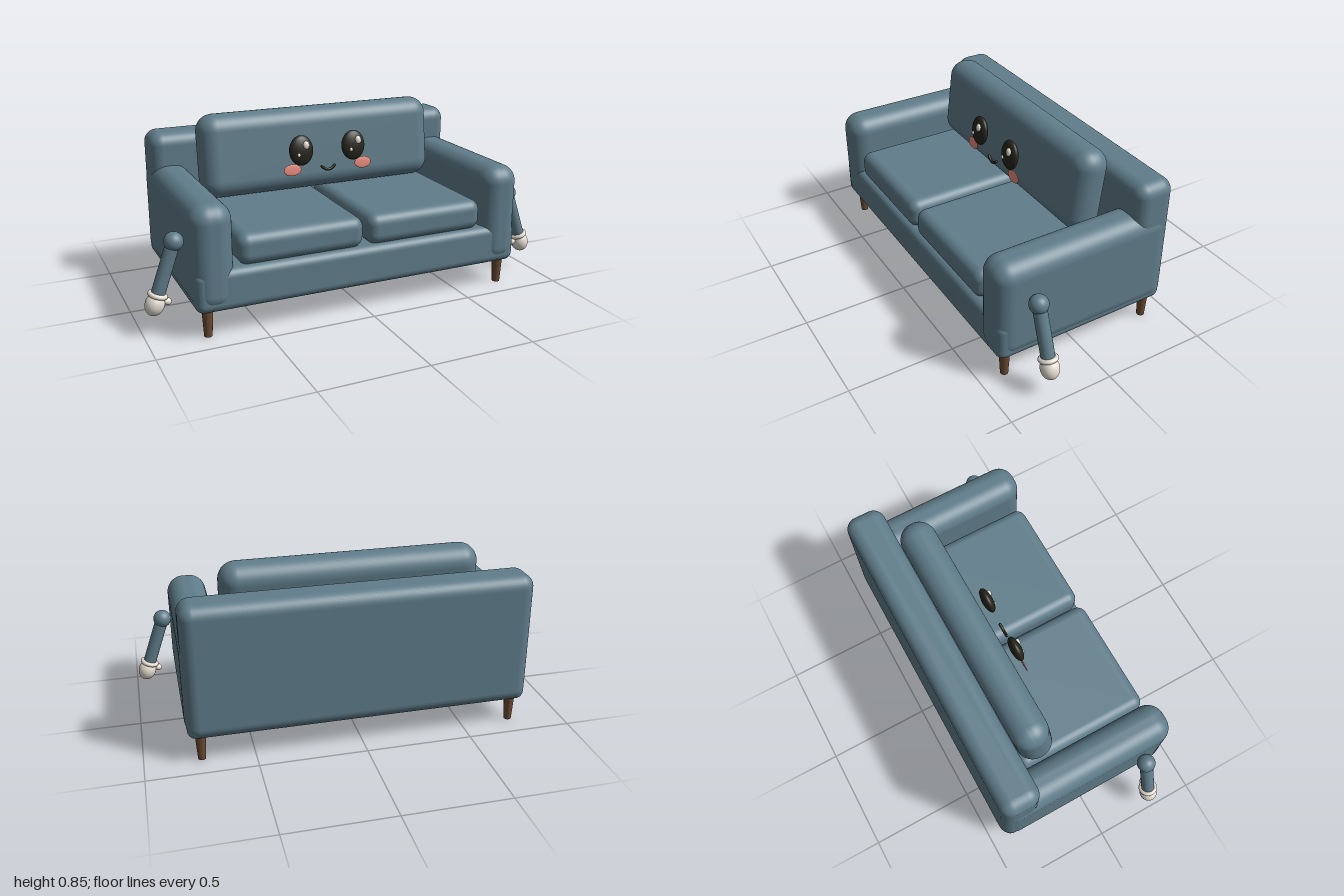
import * as THREE from 'three';
import { RoundedBoxGeometry } from 'three/addons/geometries/RoundedBoxGeometry.js';

const paint = (name, color) => {
  const m = new THREE.MeshStandardMaterial({ color });
  m.name = name;
  return m;
};

export function createModel() {
  const fabric = paint('blue grey fabric', 0x607d8b);
  const wood = paint('brown wood', 0x6b4a33);
  const cream = paint('cream', 0xe8e0d5);
  const black = paint('soft black', 0x25241c);
  const pink = paint('blush pink', 0xe88a7d);

  const sofa = new THREE.Group();
  sofa.name = 'sofa';

  const add = (parent, name, geometry, material, x = 0, y = 0, z = 0) => {
    const mesh = new THREE.Mesh(geometry, material);
    mesh.name = name;
    mesh.position.set(x, y, z);
    parent.add(mesh);
    return mesh;
  };
  // Rounded box given by its low and high corners
  const pad = (name, lo, hi, radius) => add(sofa, name,
    new RoundedBoxGeometry(hi[0] - lo[0], hi[1] - lo[1], hi[2] - lo[2], 6, radius), fabric,
    (lo[0] + hi[0]) / 2, (lo[1] + hi[1]) / 2, (lo[2] + hi[2]) / 2);
  const ellipsoid = (rx, ry, rz) => new THREE.SphereGeometry(1, 32, 20).scale(rx, ry, rz);

  // Upholstered body
  pad('base', [-0.8, 0.12, -0.432], [0.8, 0.31, 0.435], 0.04);
  pad('backrest', [-0.803, 0.12, -0.443], [0.803, 0.755, -0.252], 0.06);
  const cushion = add(sofa, 'backCushion',
    new RoundedBoxGeometry(1.21, 0.4, 0.172, 8, 0.082), fabric, 0, 0.65, -0.158);
  cushion.rotation.x = -0.12;

  for (const s of [-1, 1]) {
    const side = s > 0 ? 'left' : 'right';
    const span = (a, b) => [Math.min(s * a, s * b), Math.max(s * a, s * b)];
    const [a0, a1] = span(0.62, 0.808);
    pad(side + 'Armrest', [a0, 0.12, -0.443], [a1, 0.6, 0.443], 0.08);
    const [c0, c1] = span(0.01, 0.605);
    pad(side + 'SeatCushion', [c0, 0.305, -0.25], [c1, 0.45, 0.425], 0.05);

    // Tapered feet
    for (const z of [0.377, -0.377]) {
      add(sofa, side + (z > 0 ? 'FrontLeg' : 'BackLeg'),
        new THREE.CylinderGeometry(0.026, 0.018, 0.14, 20), wood, s * 0.742, 0.07, z);
    }

    // Hanging arm with gloved hand, its local -y running down the limb
    const limb = new THREE.Group();
    limb.name = side + 'Arm';
    limb.position.set(s * 0.848, 0.418, 0.281);
    limb.rotation.z = s * 0.34;
    sofa.add(limb);
    add(limb, 'shoulder', ellipsoid(0.043, 0.043, 0.043), fabric);
    add(limb, 'sleeve', new THREE.CylinderGeometry(0.031, 0.031, 0.24, 24), fabric, 0, -0.12, 0);
    const cuff = add(limb, 'cuff', new THREE.TorusGeometry(0.034, 0.011, 12, 28), cream, 0, -0.245, 0);
    cuff.rotation.x = Math.PI / 2;
    add(limb, 'hand', ellipsoid(0.043, 0.052, 0.042), cream, 0, -0.288, 0);
    add(limb, 'thumb', ellipsoid(0.022, 0.017, 0.018), cream, -s * 0.046, -0.264, 0.004);
  }

  // Face, leaning like the cushion behind it
  const face = new THREE.Group();
  face.name = 'face';
  face.position.set(0, 0.668, -0.021);
  face.rotation.x = -0.12;
  sofa.add(face);
  for (const s of [-1, 1]) {
    const side = s > 0 ? 'left' : 'right';
    add(face, side + 'Eye', ellipsoid(0.061, 0.073, 0.026), black, s * 0.137, 0, 0);
    add(face, side + 'EyeHighlight', ellipsoid(0.016, 0.02, 0.011), cream, s * 0.137 + 0.018, 0.026, 0.022);
    add(face, side + 'EyeSparkle', ellipsoid(0.008, 0.009, 0.006), cream, s * 0.137 - 0.022, -0.018, 0.025);
    add(face, side + 'Cheek', ellipsoid(0.045, 0.028, 0.004), pink, s * 0.186, -0.09, 0);
  }
  const smile = new THREE.QuadraticBezierCurve3(
    new THREE.Vector3(-0.033, -0.088, 0), new THREE.Vector3(0, -0.124, 0), new THREE.Vector3(0.033, -0.088, 0));
  add(face, 'smile', new THREE.TubeGeometry(smile, 20, 0.007, 10), black);
  for (const s of [-1, 1]) {
    add(face, 'smileTip', ellipsoid(0.007, 0.007, 0.007), black, s * 0.033, -0.088, 0);
  }

  return sofa;
}
